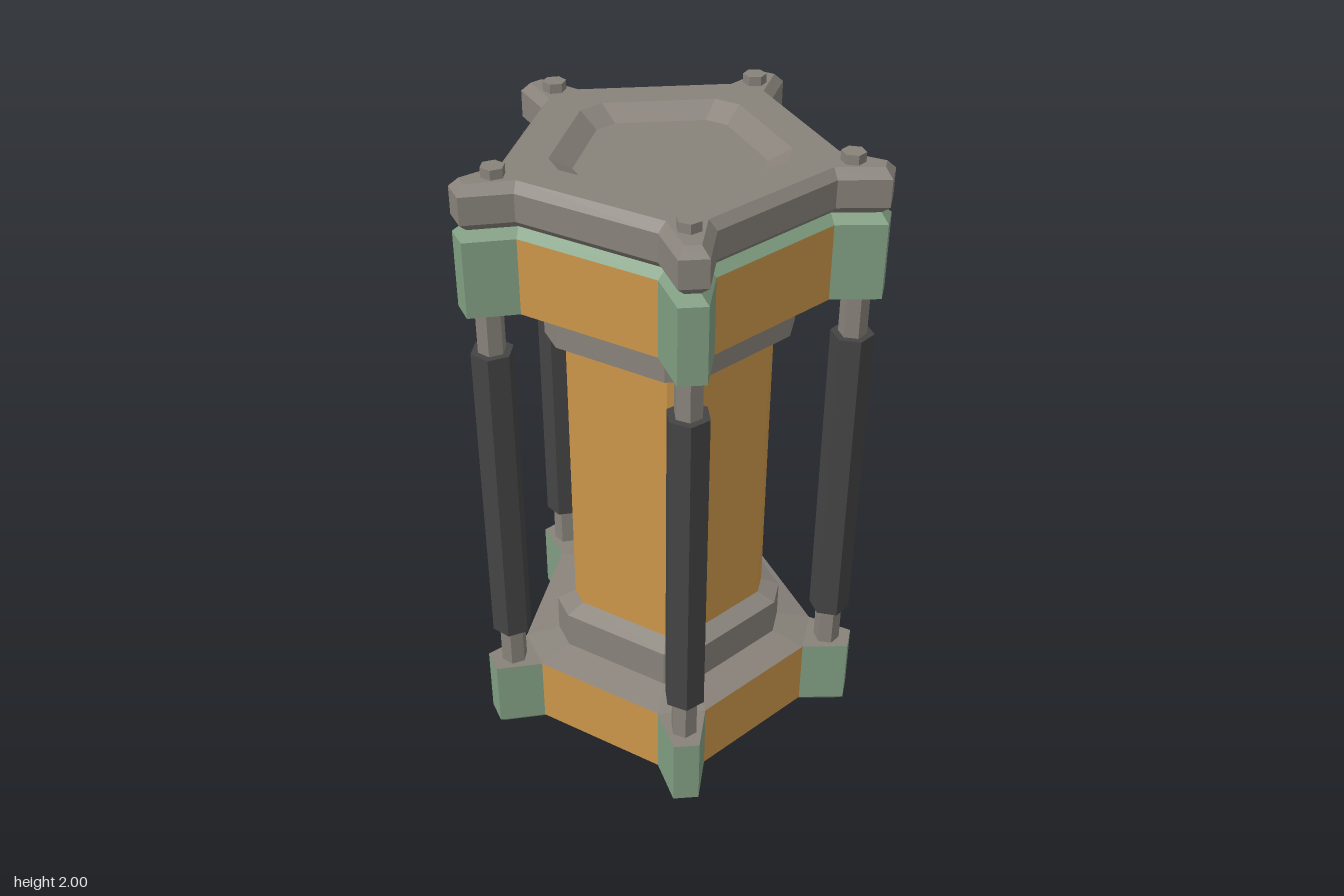
import * as THREE from 'three';

const mat = (name, color, flat = true) => {
  const m = new THREE.MeshStandardMaterial({ color, flatShading: flat });
  m.name = name;
  return m;
};

const ARMS = 5;
const armAngle = (k) => Math.PI + (k * 2 * Math.PI) / ARMS;

// Ring of four points per arm: root, tip, tip, root (d = distance out, w = half width)
function ring(y, rootD, rootW, tipD = rootD, tipW = rootW) {
  const pts = [];
  for (let k = 0; k < ARMS; k++) {
    const c = Math.cos(armAngle(k)), s = Math.sin(armAngle(k));
    for (const [d, w] of [[rootD, -rootW], [tipD, -tipW], [tipD, tipW], [rootD, rootW]]) {
      pts.push(new THREE.Vector3(d * c - w * s, y, d * s + w * c));
    }
  }
  return pts;
}

// Five-armed outline, inset evenly by i
const star = (y, i = 0) =>
  ring(y, 0.476 - 0.59 * i, 0.075 - 0.888 * i, 0.62 - i, 0.04 - 0.79 * i);
// Pentagon with cut corners; a star root outline without its arms
const pent = (y, d, w) => ring(y, d, w);
const centre = (y) => ring(y, 0, 0);

// Skin between consecutive rings; keep(j) selects the sides to build
function loft(rings, keep = () => true) {
  const pos = [];
  const tri = (a, b, c) => {
    const area = b.clone().sub(a).cross(c.clone().sub(a)).length();
    if (area > 1e-7) for (const p of [a, b, c]) pos.push(p.x, p.y, p.z);
  };
  for (let r = 0; r + 1 < rings.length; r++) {
    const lo = rings[r], hi = rings[r + 1], n = lo.length;
    for (let j = 0; j < n; j++) {
      if (!keep(j % 4)) continue;
      const k = (j + 1) % n;
      tri(lo[j], hi[j], hi[k]);
      tri(lo[j], hi[k], lo[k]);
    }
  }
  const g = new THREE.BufferGeometry();
  g.setAttribute('position', new THREE.Float32BufferAttribute(pos, 3));
  g.computeVertexNormals();
  return g;
}

export function createModel() {
  const grey = mat('warm grey metal', 0x88827a);
  const green = mat('sage green', 0x819e82);
  const orange = mat('amber orange', 0xcd974a);
  const dark = mat('charcoal', 0x444444);

  const model = new THREE.Group();
  model.name = 'canister';
  const body = new THREE.Group();
  body.name = 'canisterBody';
  body.position.x = 0.046;
  model.add(body);

  const add = (name, geometry, material) => {
    const m = new THREE.Mesh(geometry, material);
    m.name = name;
    body.add(m);
    return m;
  };

  const column = (y) => pent(y, 0.312, 0.034);
  const collar = (y) => pent(y, 0.37, 0.047);
  const shoulder = (y) => pent(y, 0.476, 0.075);
  const isPanel = (j) => j === 3;
  const isArm = (j) => j !== 3;

  // Underside with a recessed floor
  add('baseFloor', loft([centre(0.04), pent(0.04, 0.32, 0.035)]), orange);
  add('baseRim', loft([pent(0.04, 0.32, 0.035), pent(0, 0.4, 0.05), star(0, 0.024), star(0.028)]), green);

  // Lower and upper housings: green arms with orange panels between
  for (const [name, y0, y1] of [['lower', 0.028, 0.26], ['upper', 1.58, 1.812]]) {
    add(name + 'Arms', loft([star(y0), star(y1)], isArm), green);
    add(name + 'Panels', loft([star(y0), star(y1)], isPanel), orange);
  }

  // Collars joining the housings to the column
  add('lowerCollar', loft([star(0.26), shoulder(0.26), collar(0.285), collar(0.41), column(0.435)]), grey);
  add('column', loft([column(0.43), column(1.41)]), orange);
  add('upperCollar', loft([column(1.405), collar(1.43), collar(1.552), shoulder(1.58), star(1.58)]), grey);

  // Groove and lid with a shallow dish
  add('upperRim', loft([star(1.812), star(1.838, 0.024)]), green);
  add('lid', loft([
    star(1.838, 0.024), star(1.863), star(1.945), star(1.972, 0.024),
    pent(1.972, 0.337, 0.04), pent(1.932, 0.271, 0.035), centre(1.932),
  ]), grey);

  // Rods, sleeves and bolts on every arm
  const hex = (r, y0, y1) =>
    new THREE.CylinderGeometry(r, r, y1 - y0, 6).translate(0, (y0 + y1) / 2, 0);
  const parts = [
    ['rod', hex(0.042, 0.255, 1.585), grey, 0.544],
    ['sleeve', hex(0.064, 0.4, 1.44), dark, 0.544],
    ['bolt', hex(0.035, 1.965, 2.0), grey, 0.507],
  ];
  for (let k = 0; k < ARMS; k++) {
    const a = armAngle(k);
    for (const [name, geometry, material, d] of parts) {
      const m = add(name + (k + 1), geometry, material);
      m.position.set(d * Math.cos(a), 0, d * Math.sin(a));
      m.rotation.y = Math.PI / 2 - a; // a corner points outward
    }
  }
  return model;
}
